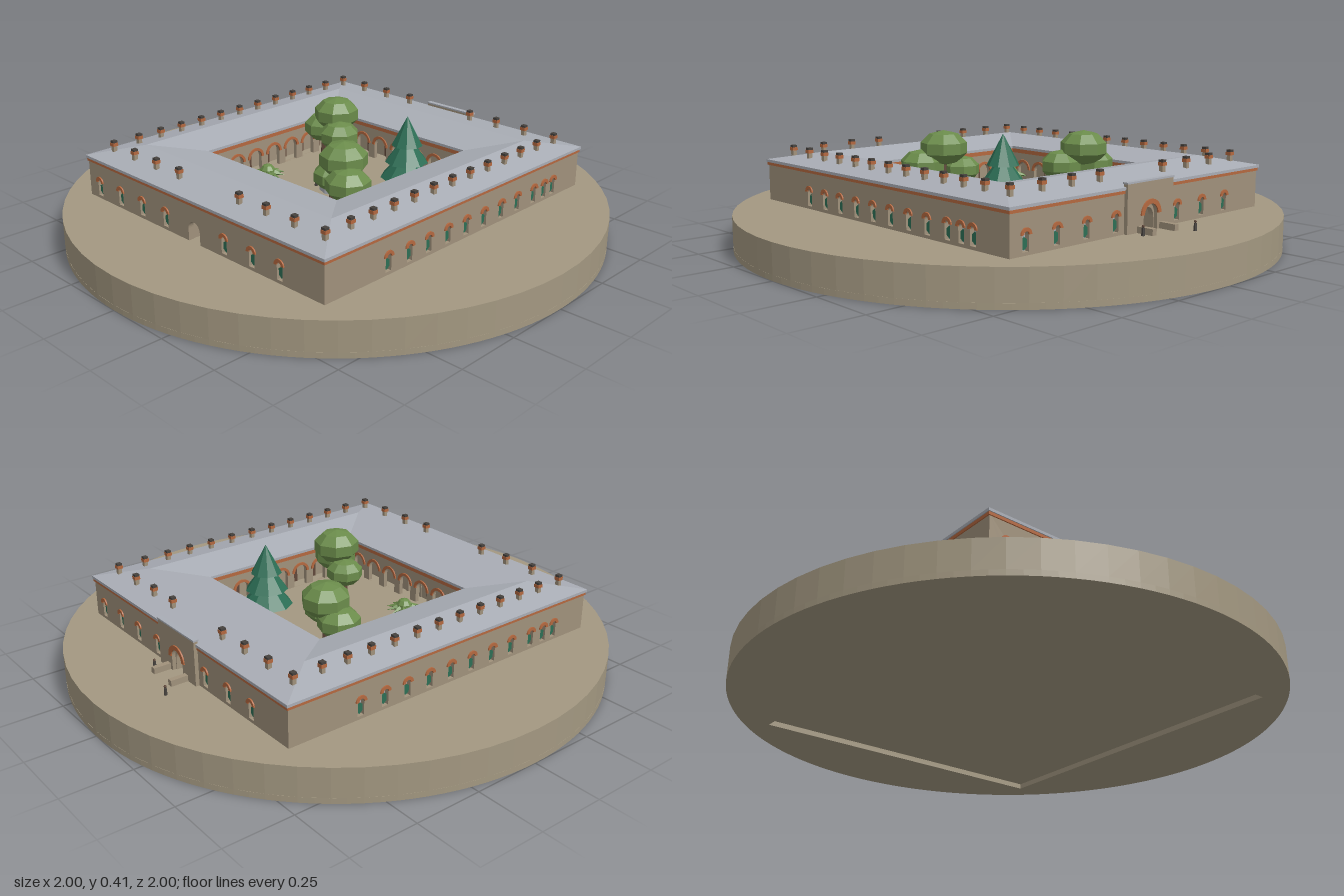
import * as THREE from 'three';

const mat = (name, color, extra = {}) => {
  const m = new THREE.MeshStandardMaterial({ color, flatShading: true, ...extra });
  m.name = name;
  return m;
};
const ground = mat('sand', 0xa39881);
const stone = mat('stone wall', 0xa0917b);
const slate = mat('slate', 0xa9adb5);
const brick = mat('terracotta', 0xb4683f);
const teal = mat('dark green', 0x2c6e55);
const leaf = mat('leaf green', 0x6b8c4b);
const bark = mat('bark', 0x60483a);
const dark = mat('dark', 0x46423e);

const G = 0.125; // ground level

function add(parent, name, geo, material, x = 0, y = 0, z = 0) {
  const m = new THREE.Mesh(geo, material);
  m.name = name;
  m.position.set(x, y, z);
  parent.add(m);
  return m;
}
const box = (w, h, d) => new THREE.BoxGeometry(w, h, d);
const extrude = (shape, depth) =>
  new THREE.ExtrudeGeometry(shape, { depth, bevelEnabled: false, curveSegments: 8 });

// Round-headed opening
function archPath(x, r, bottom, spring) {
  const p = new THREE.Path();
  p.moveTo(x - r, bottom);
  p.lineTo(x + r, bottom);
  p.lineTo(x + r, spring);
  p.absarc(x, spring, r, 0, Math.PI, false);
  p.closePath();
  return p;
}

// Half ring of bricks over an opening
function archRing(r0, r1, depth) {
  const s = new THREE.Shape();
  s.absarc(0, 0, r1, 0, Math.PI, false);
  s.absarc(0, 0, r0, Math.PI, 0, true);
  return extrude(s, depth);
}

// Wall plate with arched holes; its outer face is at local z = 0
function wallPlate(width, y0, y1, depth, holes) {
  const s = new THREE.Shape();
  s.moveTo(-width / 2, y0);
  s.lineTo(width / 2, y0);
  s.lineTo(width / 2, y1);
  s.lineTo(-width / 2, y1);
  s.holes = holes;
  return extrude(s, depth).translate(0, 0, -depth);
}

// Rectangular loops of corners joined into a closed ring
function rectLoops(loops) {
  const pos = [];
  const at = ([hx, hz, y], k) => [[hx, y, hz], [hx, y, -hz], [-hx, y, -hz], [-hx, y, hz]][k % 4];
  loops.forEach((lo, i) => {
    const hi = loops[(i + 1) % loops.length];
    for (let k = 0; k < 4; k++) {
      const a = at(lo, k), b = at(lo, k + 1), c = at(hi, k + 1), d = at(hi, k);
      pos.push(...a, ...b, ...c, ...a, ...c, ...d);
    }
  });
  const g = new THREE.BufferGeometry();
  g.setAttribute('position', new THREE.Float32BufferAttribute(pos, 3));
  g.computeVertexNormals();
  return g;
}
const band = (ox, oz, ix, iz, y0, y1) =>
  rectLoops([[ox, oz, y0], [ox, oz, y1], [ix, iz, y1], [ix, iz, y0]]);

function outerWall(name, width, windows, doorway) {
  const g = new THREE.Group();
  g.name = name;
  const holes = windows.map((x) => archPath(x, 0.013, 0.136, 0.185));
  if (doorway) holes.push(archPath(0, 0.03, G, 0.17));
  add(g, 'outerWallPlate', wallPlate(width, 0.115, 0.265, 0.02, holes), stone);
  for (const x of windows) {
    add(g, 'windowPane', box(0.03, 0.068, 0.004), slate, x, 0.166, -0.019);
    const hex = add(g, 'windowShutter', new THREE.CircleGeometry(0.021, 6), teal, x, 0.16, -0.008);
    hex.rotation.z = Math.PI / 2;
    hex.scale.y = 0.75;
    add(g, 'windowArch', archRing(0.011, 0.022, 0.006), brick, x, 0.188, -0.001);
  }
  return g;
}

// Courtyard arcade; local +z looks into the court
function arcade(name, passage) {
  const g = new THREE.Group();
  g.name = name;
  const xs = [-3, -2, -1, 0, 1, 2, 3].map((i) => i * 0.094);
  add(g, 'arcadeWall', wallPlate(0.7, 0.115, 0.27, 0.016, xs.map((x) => archPath(x, 0.031, G, 0.185))), stone);
  add(g, 'arcadeBackWall', wallPlate(0.8, 0.115, 0.27, 0.01, passage ? [archPath(0, 0.031, G, 0.185)] : []), stone, 0, 0, -0.05);
  for (const x of xs) {
    add(g, 'arcadeArch', archRing(0.03, 0.04, 0.006), brick, x, 0.185, -0.001);
    if (x || !passage) add(g, 'arcadeDoor', box(0.036, 0.07, 0.006), bark, x, 0.16, -0.049);
  }
  return g;
}

function roundTree(parent, name, blobs) {
  const g = new THREE.Group();
  g.name = name;
  for (const [x, y, z, r] of blobs) {
    add(g, 'trunk', new THREE.CylinderGeometry(0.009, 0.014, y - G, 6), bark, x, (y + G) / 2, z);
    const crown = add(g, 'crown', new THREE.SphereGeometry(r, 8, 5), leaf, x, y, z);
    crown.scale.y = 0.72;
    crown.rotation.y = x * 9;
  }
  parent.add(g);
}

export function createModel() {
  const model = new THREE.Group();

  // Round base with a shallow recess underneath
  add(model, 'base', new THREE.CylinderGeometry(1, 1, G - 0.02, 64), ground, 0, (G + 0.02) / 2, 0);
  const foot = new THREE.Shape().absarc(0, 0, 1, 0, Math.PI * 2, false);
  foot.holes.push(new THREE.Path().setFromPoints([[-0.615, -0.67], [-0.615, 0.67], [0.615, 0.67], [0.615, -0.67]]
    .map(([x, y]) => new THREE.Vector2(x, y))));
  const footGeo = new THREE.ExtrudeGeometry(foot, { depth: 0.02, bevelEnabled: false, curveSegments: 64 });
  add(model, 'baseFoot', footGeo.rotateX(-Math.PI / 2), ground);

  // Four wings
  const endWindows = [-0.55, -0.42, -0.29, -0.155, 0.155, 0.29, 0.42];
  const sideWindows = [-0.39, -0.29, -0.195, -0.097, 0, 0.097, 0.195, 0.29, 0.39, 0.455, 0.51];
  for (let i = 0; i < 4; i++) {
    const end = i % 2 === 0;
    const wing = new THREE.Group();
    wing.name = ['frontWing', 'leftWing', 'backWing', 'rightWing'][i];
    wing.rotation.y = (i * Math.PI) / 2;
    const out = outerWall('outerWall', end ? 1.23 : 1.33, end ? endWindows : sideWindows, end);
    out.position.z = end ? 0.67 : 0.615;
    const court = arcade('arcade', end);
    court.rotation.y = Math.PI;
    court.position.z = 0.348;
    wing.add(out, court);
    if (end) for (const s of [-1, 1])
      add(wing, 'passageWall', box(0.01, 0.14, 0.26), stone, s * 0.038, 0.19, 0.525);
    model.add(wing);
  }

  // Cornices and hipped roof ring
  add(model, 'outerCornice', band(0.619, 0.674, 0.59, 0.64, 0.258, 0.27), brick);
  add(model, 'courtCornice', band(0.37, 0.37, 0.341, 0.341, 0.252, 0.269), brick);
  add(model, 'roof', rectLoops([[0.622, 0.677, 0.269], [0.622, 0.677, 0.279], [0.48, 0.507, 0.311],
    [0.335, 0.335, 0.279], [0.335, 0.335, 0.269]]), slate);

  // Chimneys
  const chimney = (x, z) => {
    const g = new THREE.Group();
    g.name = 'chimney';
    g.position.set(x, 0, z);
    add(g, 'chimneyStack', box(0.015, 0.045, 0.015), stone, 0, 0.3, 0);
    add(g, 'chimneyCollar', box(0.021, 0.012, 0.021), brick, 0, 0.32, 0);
    add(g, 'chimneyCap', box(0.018, 0.008, 0.018), dark, 0, 0.33, 0);
    model.add(g);
  };
  for (const s of [-1, 1]) {
    for (const x of [-0.42, -0.29, -0.16, 0.155, 0.285, 0.415]) chimney(x, s * 0.6);
    for (const z of [0, 0.097, 0.195, 0.293, 0.39, 0.49, 0.6]) {
      chimney(s * 0.548, z);
      if (z) chimney(s * 0.548, -z);
    }
  }

  // Back gate
  const gate = new THREE.Group();
  gate.name = 'gate';
  gate.rotation.y = Math.PI;
  add(gate, 'gatePanel', wallPlate(0.23, 0.115, 0.29, 0.016, [archPath(0, 0.034, G, 0.18)]), stone, 0, 0, 0.684);
  add(gate, 'gateCoping', box(0.236, 0.006, 0.02), slate, 0, 0.292, 0.676);
  add(gate, 'gateArch', archRing(0.034, 0.05, 0.006), brick, 0, 0.18, 0.683);
  for (const s of [-1, 1])
    add(gate, 'gateRail', box(0.02, 0.022, 0.065), stone, s * 0.056, G + 0.011, 0.716);
  model.add(gate);

  // Fountain
  add(model, 'fountainBasin', new THREE.CylinderGeometry(0.062, 0.062, 0.018, 8), slate, 0, G + 0.009, 0);
  add(model, 'fountainSpout', new THREE.CylinderGeometry(0.008, 0.012, 0.025, 8), slate, 0, G + 0.024, 0);

  // Courtyard planting
  roundTree(model, 'backTree', [[-0.195, 0.335, -0.2, 0.09], [-0.255, 0.27, -0.19, 0.08], [-0.13, 0.27, -0.15, 0.08]]);
  roundTree(model, 'frontTree', [[0.185, 0.335, 0.15, 0.09], [0.115, 0.25, 0.135, 0.072], [0.25, 0.27, 0.195, 0.085]]);
  const fir = new THREE.Group();
  fir.name = 'firTree';
  fir.position.set(0.19, 0, -0.18);
  add(fir, 'trunk', new THREE.CylinderGeometry(0.012, 0.016, 0.1, 6), bark, 0, 0.17, 0);
  for (const [r, y, h] of [[0.097, 0.235, 0.11], [0.08, 0.295, 0.11], [0.058, 0.36, 0.11]])
    add(fir, 'firTier', new THREE.ConeGeometry(r, h, 9), teal, 0, y, 0);
  model.add(fir);
  const palm = new THREE.Group();
  palm.name = 'palm';
  palm.position.set(-0.18, 0, 0.18);
  add(palm, 'trunk', new THREE.CylinderGeometry(0.008, 0.012, 0.07, 6), bark, 0, G + 0.035, 0);
  add(palm, 'palmHeart', new THREE.SphereGeometry(0.03, 8, 5), leaf, 0, 0.198, 0);
  for (let i = 0; i < 11; i++) {
    const frond = new THREE.ConeGeometry(0.013, 0.05, 4).translate(0, 0.042, 0).rotateZ(-1.75);
    add(palm, 'frond', frond, leaf, 0, 0.2, 0).rotation.y = (i / 11) * Math.PI * 2;
  }
  model.add(palm);

  // Small standing figures
  for (const [x, z] of [[-0.1, -0.79], [0.085, -0.725], [0.08, -0.03], [-0.08, 0.025], [-0.11, 0.25]]) {
    add(model, 'figureBody', new THREE.CylinderGeometry(0.005, 0.007, 0.026, 6), dark, x, G + 0.013, z);
    add(model, 'figureHead', new THREE.SphereGeometry(0.005, 6, 4), bark, x, G + 0.031, z);
  }
  return model;
}
